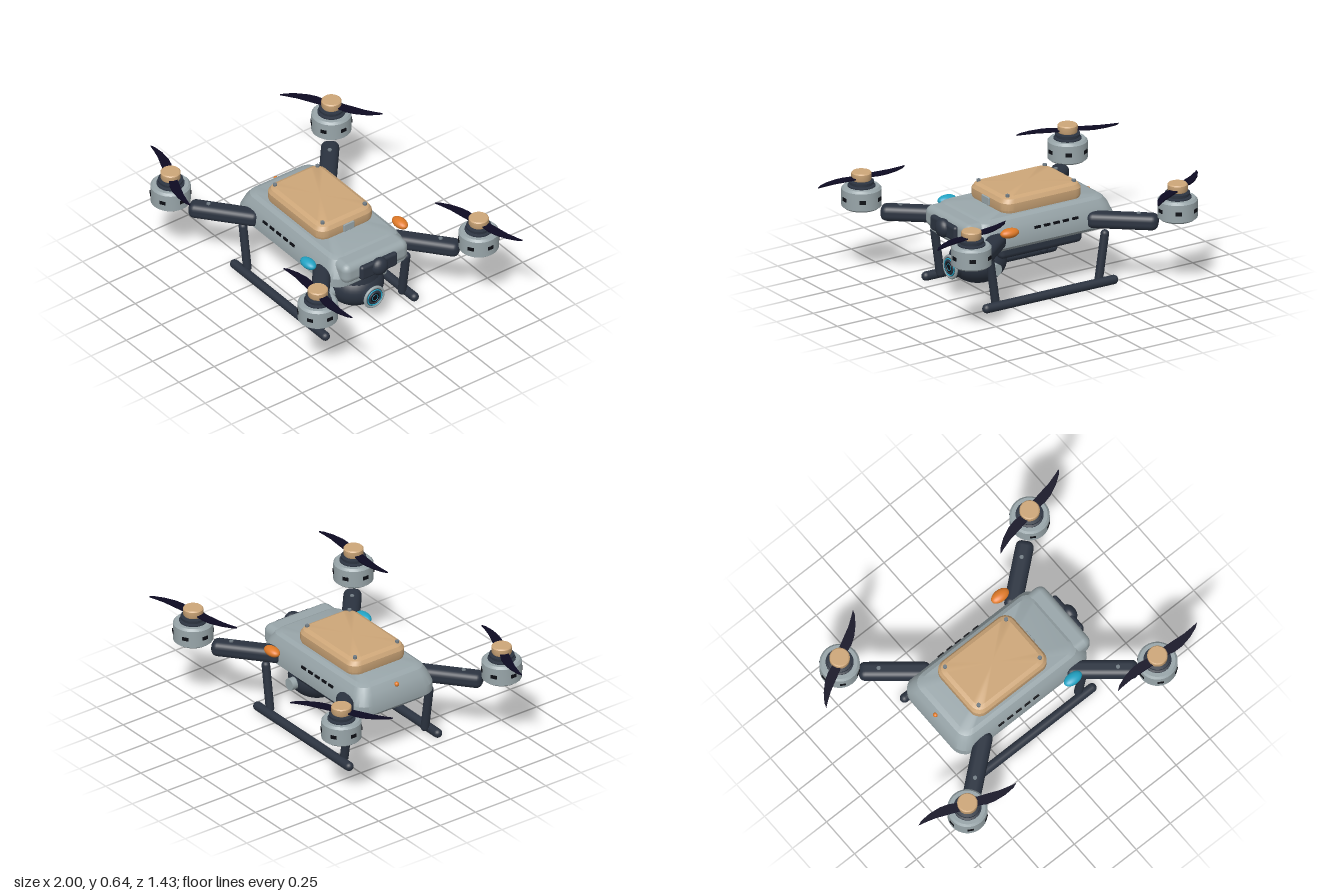
import * as THREE from 'three';
import { toCreasedNormals } from 'three/addons/utils/BufferGeometryUtils.js';
import { RoundedBoxGeometry } from 'three/addons/geometries/RoundedBoxGeometry.js';

const paint = (name, color) => {
  const m = new THREE.MeshStandardMaterial({ color });
  m.name = name;
  return m;
};

// Stack of rounded rectangles: each layer is [y, halfX, halfZ, cornerRadius]
function layeredShell(layers, steps = 5) {
  const pos = [], idx = [];
  const n = 4 * (steps + 1);
  for (const [y, hx, hz, r] of layers) {
    for (let q = 0; q < 4; q++) {
      const sx = q === 0 || q === 3 ? 1 : -1, sz = q < 2 ? 1 : -1;
      for (let s = 0; s <= steps; s++) {
        const t = (q + s / steps) * Math.PI / 2;
        pos.push(sx * (hx - r) + r * Math.cos(t), y, sz * (hz - r) + r * Math.sin(t));
      }
    }
  }
  for (let l = 0; l < layers.length - 1; l++) {
    for (let i = 0; i < n; i++) {
      const a = l * n + i, b = l * n + (i + 1) % n;
      idx.push(a, a + n, b, b, a + n, b + n);
    }
  }
  const last = (layers.length - 1) * n;
  const bottom = pos.length / 3, top = bottom + 1;
  pos.push(0, layers[0][0], 0, 0, layers[layers.length - 1][0], 0);
  for (let i = 0; i < n; i++) {
    const j = (i + 1) % n;
    idx.push(bottom, i, j, top, last + j, last + i);
  }
  const g = new THREE.BufferGeometry();
  g.setAttribute('position', new THREE.Float32BufferAttribute(pos, 3));
  g.setIndex(idx);
  return toCreasedNormals(g, 0.45);
}

export function createModel() {
  const grey = paint('shell grey', 0x98a5a9);
  const tan = paint('battery tan', 0xcda678);
  const dark = paint('frame slate', 0x2b3340);
  const black = paint('vent black', 0x0c0e14);
  const bladeInk = paint('blade ink', 0x0d0a22);
  const teal = paint('teal', 0x22a3c4);
  const orange = paint('orange', 0xe07a28);
  const steel = paint('screw steel', 0x717c84);

  const model = new THREE.Group();
  model.name = 'drone';
  const craft = new THREE.Group();
  craft.name = 'aircraft';
  craft.position.z = 0.027;
  model.add(craft);

  const add = (name, geo, mat, x = 0, y = 0, z = 0, parent = craft) => {
    const m = new THREE.Mesh(geo, mat);
    m.name = name;
    m.position.set(x, y, z);
    parent.add(m);
    return m;
  };
  const box = (w, h, d, r) => new RoundedBoxGeometry(w, h, d, 3, r);
  const cyl = (r, h, n = 28, r2 = r) => new THREE.CylinderGeometry(r, r2, h, n);
  const ball = (r) => new THREE.SphereGeometry(r, 24, 16);

  // Hull, nose and sensor
  add('hull', layeredShell([
    [0.305, 0.42, 0.2, 0.07], [0.32, 0.45, 0.24, 0.08], [0.35, 0.48, 0.278, 0.09],
    [0.405, 0.48, 0.278, 0.09], [0.465, 0.455, 0.255, 0.08], [0.5, 0.43, 0.235, 0.07],
    [0.515, 0.4, 0.21, 0.06]]), grey, -0.018);
  add('nose', box(0.16, 0.13, 0.46, 0.045), grey, 0.42, 0.442, 0);
  add('sensorPanel', box(0.04, 0.092, 0.26, 0.018), dark, 0.502, 0.434, 0);
  add('sensorDome', ball(0.055), dark, 0.515, 0.438, 0).scale.x = 0.75;
  add('rearLight', ball(0.014), orange, -0.47, 0.472, 0);
  add('bellyPod', box(0.56, 0.1, 0.38, 0.03), dark, -0.035, 0.29, 0);

  // Battery with latch and corner screws
  add('battery', layeredShell([
    [0.505, 0.262, 0.19, 0.06], [0.53, 0.271, 0.198, 0.065], [0.572, 0.271, 0.198, 0.065],
    [0.595, 0.258, 0.185, 0.06], [0.607, 0.235, 0.162, 0.05]]), tan, -0.05);
  add('latch', box(0.02, 0.048, 0.075, 0.004), grey, 0.22, 0.547, 0);
  for (const x of [-0.275, 0.175]) for (const z of [-0.15, 0.15])
    add('batteryScrew', cyl(0.012, 0.014, 12), steel, x, 0.61, z);

  // Side vents, position lights and landing gear
  for (const s of [-1, 1]) {
    for (let i = 0; i < 5; i++)
      add('vent', new THREE.BoxGeometry(0.04, 0.014, 0.009), black, -0.207 + i * 0.064, 0.432, s * 0.27);
    add('positionLight', ball(0.06), s > 0 ? teal : orange, 0.275, 0.458, s * 0.325).scale.set(1, 0.47, 0.6);

    const skid = add('skid', new THREE.CapsuleGeometry(0.027, 0.86, 6, 18), dark, -0.007, 0.027, s * 0.315);
    skid.rotation.z = Math.PI / 2;
    for (const [xTop, xFoot] of [[-0.397, -0.355], [0.385, 0.345]]) {
      const a = new THREE.Vector3(xFoot, 0.035, s * 0.287), b = new THREE.Vector3(xTop, 0.31, s * 0.287);
      const strut = add('strut', new THREE.CapsuleGeometry(0.025, a.distanceTo(b) - 0.01, 6, 16), dark);
      strut.position.copy(a).lerp(b, 0.5);
      strut.quaternion.setFromUnitVectors(new THREE.Vector3(0, 1, 0), b.sub(a).normalize());
    }
  }

  // Gimbal camera looking along +x
  const gimbal = new THREE.Group();
  gimbal.name = 'gimbalCamera';
  gimbal.position.set(0.28, 0.2, 0);
  craft.add(gimbal);
  add('cameraHousing', new THREE.SphereGeometry(0.168, 32, 24), dark, 0, 0, 0, gimbal).scale.y = 0.78;
  add('gimbalNeck', cyl(0.13, 0.12, 28, 0.15), dark, 0, 0.1, 0, gimbal);
  add('pivot', cyl(0.036, 0.4, 24), grey, 0, -0.007, 0, gimbal).rotation.x = Math.PI / 2;
  const lensPart = (name, geo, mat, x) => {
    const m = add(name, geo, mat, x, -0.01, 0, gimbal);
    m.rotation.z = -Math.PI / 2;
  };
  const ring = (r, tube) => new THREE.TorusGeometry(r, tube, 10, 32).rotateX(Math.PI / 2);
  lensPart('lensBarrel', cyl(0.066, 0.1), dark, 0.14);
  lensPart('lensBezel', ring(0.063, 0.009), grey, 0.185);
  lensPart('lensGlowRing', ring(0.049, 0.004), teal, 0.192);
  lensPart('lensInnerRing', ring(0.036, 0.006), dark, 0.194);
  lensPart('lensGlass', cyl(0.03, 0.01), black, 0.19);
  lensPart('lensPupilRing', ring(0.02, 0.002), teal, 0.195);

  // Scimitar propeller: one half outline, repeated by a half turn
  const half = [[0.03, -0.024], [0.1, -0.042], [0.15, -0.044], [0.22, -0.033], [0.28, -0.012],
    [0.305, 0.006], [0.27, 0.004], [0.2, 0.004], [0.12, 0.014], [0.03, 0.024]];
  const outline = [...half, ...half.map(([u, v]) => [-u, -v])];
  const bladeShape = new THREE.Shape(outline.map(([u, v]) => new THREE.Vector2(u, v)));
  const bladeGeo = new THREE.ExtrudeGeometry(bladeShape, { depth: 0.008, bevelEnabled: false });
  bladeGeo.rotateX(-Math.PI / 2);

  const turned = (pts) => toCreasedNormals(
    new THREE.LatheGeometry(pts.map(([r, y]) => new THREE.Vector2(r, y)), 32), 0.6);
  const canGeo = turned([[0, 0.425], [0.1, 0.425], [0.115, 0.437], [0.115, 0.54], [0.103, 0.553], [0, 0.553]]);
  const capGeo = turned([[0, 0.59], [0.054, 0.59], [0.058, 0.598], [0.058, 0.632], [0.052, 0.638], [0, 0.638]]);
  const collarGeo = turned([[0.08, 0.55], [0.08, 0.559], [0.064, 0.563], [0.064, 0.57],
    [0.072, 0.572], [0.072, 0.584], [0.05, 0.588], [0.05, 0.6], [0, 0.6]]);

  // Four arms, each with motor and propeller: [side x, side z, blade angle in degrees]
  for (const [sx, sz, angle] of [[-1, -1, 35], [1, -1, 16.5], [-1, 1, -16], [1, 1, 2]]) {
    const arm = add('arm', box(0.41, 0.092, 0.104, 0.036), dark, sx * 0.457 - 0.006, 0.398, sz * 0.37);
    arm.rotation.y = -Math.atan2(sz * 0.26, sx * 0.315);
    add('armScrew', cyl(0.012, 0.012, 12), steel, sx * 0.527 - 0.006, 0.445, sz * 0.43);

    const rotor = new THREE.Group();
    rotor.name = 'rotor';
    rotor.position.set(sx * 0.7 - 0.005, 0, sz * 0.57);
    craft.add(rotor);
    add('motorCan', canGeo, grey, 0, 0, 0, rotor);
    add('motorCollar', collarGeo, dark, 0, 0, 0, rotor);
    add('hubCap', capGeo, tan, 0, 0, 0, rotor);
    add('propeller', bladeGeo, bladeInk, 0, 0.601, 0, rotor).rotation.y = THREE.MathUtils.degToRad(angle);
    for (let i = 0; i < 6; i++) {
      const t = i * Math.PI / 3;
      const slot = add('motorSlot', new THREE.BoxGeometry(0.009, 0.022, 0.036), black,
        0.113 * Math.cos(t), 0.489, 0.113 * Math.sin(t), rotor);
      slot.rotation.y = -t;
    }
  }
  return model;
}
